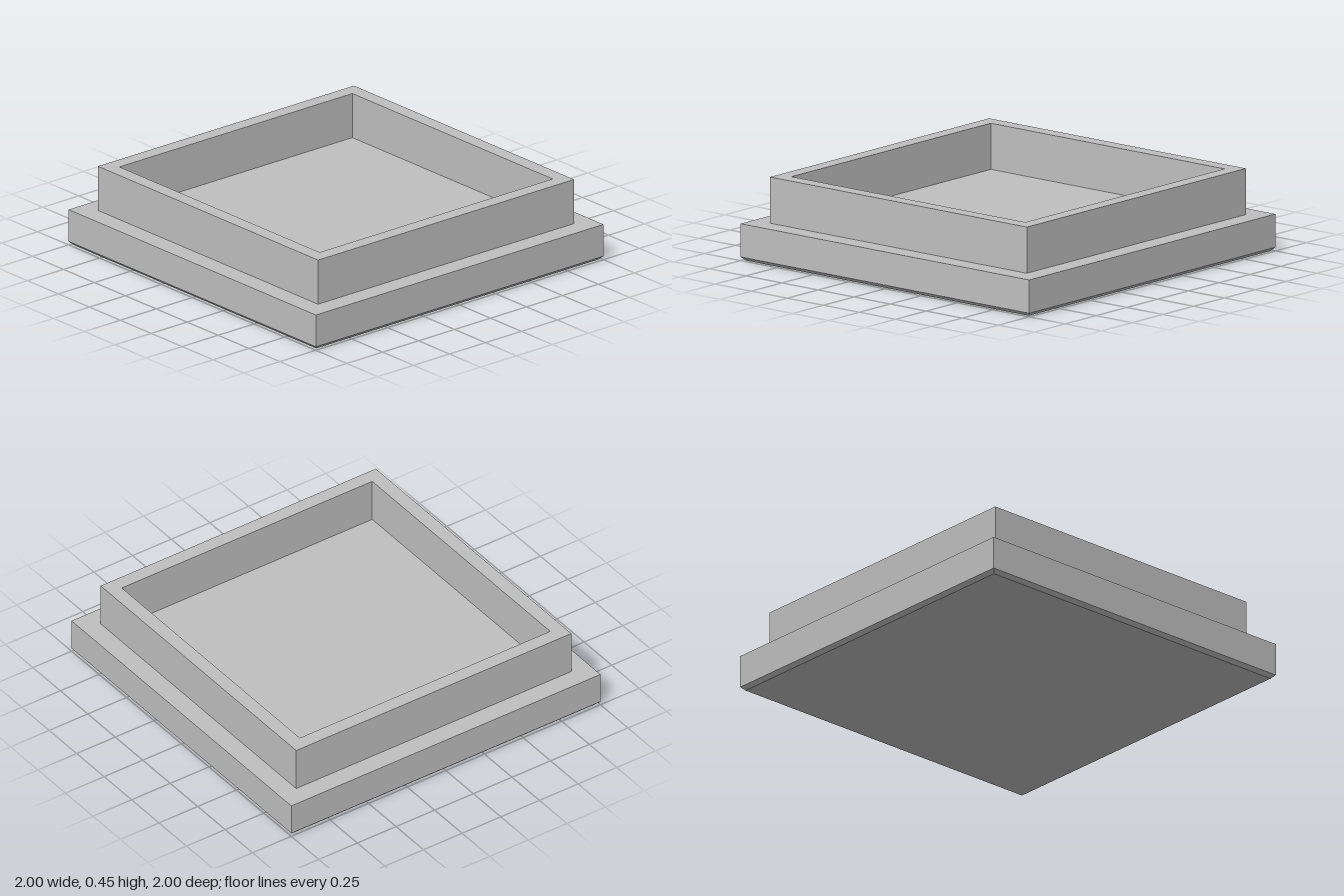
import * as THREE from 'three';

// Square solid from a profile of [half width, height] pairs, running up the outside
function squareLathe(name, profile, material) {
  const points = profile.map(([half, y]) => new THREE.Vector2(half * Math.SQRT2, y));
  const geometry = new THREE.LatheGeometry(points, 4, Math.PI / 4).toNonIndexed();
  geometry.computeVertexNormals();
  const mesh = new THREE.Mesh(geometry, material);
  mesh.name = name;
  return mesh;
}

export function createModel() {
  const grey = new THREE.MeshStandardMaterial({ color: 0xc0c0c0, flatShading: true });
  grey.name = 'light grey';

  const model = new THREE.Group();
  model.name = 'squareLid';

  // Slab with a small chamfer around its bottom edge
  model.add(squareLathe('basePlate', [[0, 0], [0.98, 0], [1, 0.02], [1, 0.2], [0, 0.2]], grey));

  // Raised square wall, open in the middle
  model.add(squareLathe('raisedRim', [[0.89, 0.2], [0.89, 0.45], [0.81, 0.45], [0.81, 0.2]], grey));

  return model;
}
